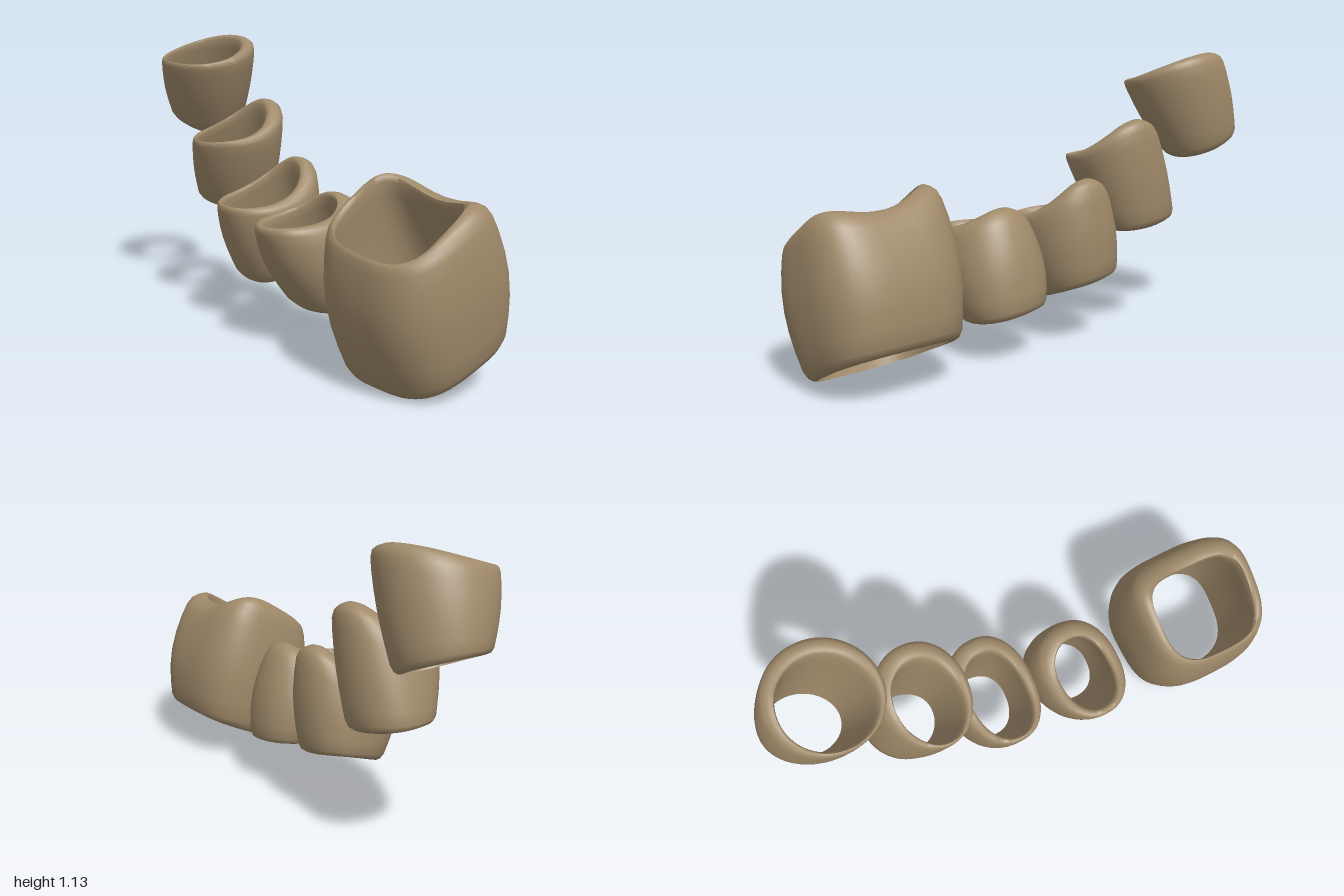
import * as THREE from 'three';
import { toCreasedNormals } from 'three/addons/utils/BufferGeometryUtils.js';

const SIDES = 56;

// Wall profile: [height 0..1 between bottom and top rim, inset as a share of wall thickness]
const PROFILE = [
  [0, 0.65], [0, 0.4], [0.02, 0.15], [0.07, 0], [0.2, 0], [0.35, 0], [0.5, 0], [0.65, 0], [0.8, 0], [0.91, 0.02],
  [0.965, 0.13], [0.99, 0.36], [1, 0.65], [0.985, 0.92], [0.95, 1.05], [0.85, 1.1], [0.65, 1.1], [0.45, 1.05], [0.2, 0.85],
];

// Rims: centre x, z; radii rx, rz; height y plus slopes
// (sx toward +x, sz toward the back, c lifts the back corners, q along z squared).
// bulge is the swelling at mid height in x and z;
// shift moves the upper opening forward, so the back wall is thicker than the front.
const PIECES = [
  { name: 'largeRing', n: 3, taper: 0.03, wall: 0.05, bulge: [0.026, 0.045], shift: 0.034,
    top: { x: 0.722, z: 0.085, rx: 0.253, rz: 0.21, y: 0.552, sx: -0.03, sz: 0.072, c: 0.085, q: 0 },
    bottom: { x: 0.712, z: -0.025, rx: 0.25, rz: 0.215, y: 0.088, sx: 0, sz: 0.088, c: 0, q: 0 } },
  { name: 'innerRing', n: 2.3, taper: 0.06, wall: 0.05, bulge: [0.028, 0.028], shift: 0.02,
    top: { x: 0.19, z: 0.093, rx: 0.152, rz: 0.19, y: 0.51, sx: 0, sz: 0.047, c: -0.04, q: 0.01 },
    bottom: { x: 0.178, z: -0.045, rx: 0.152, rz: 0.15, y: 0.165, sx: -0.02, sz: 0.02, c: 0, q: 0 } },
  { name: 'middleRing', n: 2.3, taper: 0.08, wall: 0.045, bulge: [0.018, 0.018], shift: 0.025,
    top: { x: -0.153, z: 0.015, rx: 0.158, rz: 0.205, y: 0.545, sx: -0.01, sz: 0.08, c: -0.05, q: 0.027 },
    bottom: { x: -0.2, z: -0.06, rx: 0.142, rz: 0.15, y: 0.215, sx: -0.025, sz: 0.04, c: 0.01, q: 0 } },
  { name: 'outerRing', n: 2.1, taper: 0.1, wall: 0.045, bulge: [0.01, 0.01], shift: 0.03,
    top: { x: -0.412, z: -0.025, rx: 0.168, rz: 0.193, y: 0.77, sx: -0.01, sz: 0.077, c: -0.045, q: 0.02 },
    bottom: { x: -0.524, z: -0.08, rx: 0.154, rz: 0.148, y: 0.44, sx: -0.028, sz: 0, c: 0, q: 0 } },
  { name: 'endRing', n: 2, taper: 0, wall: 0.04, bulge: [0.012, 0.012], shift: 0.025,
    top: { x: -0.73, z: -0.09, rx: 0.208, rz: 0.202, y: 1.052, sx: -0.022, sz: 0.052, c: 0.006, q: 0.018 },
    bottom: { x: -0.85, z: -0.15, rx: 0.155, rz: 0.15, y: 0.75, sx: -0.058, sz: 0, c: 0, q: 0 } },
];

const power = (v, p) => Math.sign(v) * Math.abs(v) ** p;
const rimHeight = (r, u, v) => r.y + r.sx * u - r.sz * v + r.c * u * u * (1 - v) / 2 + r.q * v * v;

// Closed tubular shell: the wall profile swept around a rounded-square outline
function shellGeometry({ n, taper, wall, bulge, shift, top, bottom }) {
  const positions = [], index = [];
  for (const [t, inset] of PROFILE) {
    const mix = (key) => THREE.MathUtils.lerp(bottom[key], top[key], t);
    const swell = Math.sin(Math.PI * t);
    const rx = mix('rx') + bulge[0] * swell - wall * inset;
    const rz = mix('rz') + bulge[1] * swell - wall * inset;
    for (let j = 0; j < SIDES; j++) {
      const a = (j / SIDES) * Math.PI * 2;
      const u = power(Math.cos(a), 2 / n), v = power(Math.sin(a), 2 / n);
      positions.push(
        mix('x') + rx * u * (1 - taper * v),
        THREE.MathUtils.lerp(rimHeight(bottom, u, v), rimHeight(top, u, v), t),
        mix('z') + rz * v + shift * t * inset,
      );
    }
  }
  const rows = PROFILE.length;
  for (let i = 0; i < rows; i++) {
    for (let j = 0; j < SIDES; j++) {
      const i2 = (i + 1) % rows, j2 = (j + 1) % SIDES;
      const a = i * SIDES + j, b = i2 * SIDES + j, c = i2 * SIDES + j2, d = i * SIDES + j2;
      index.push(a, b, c, a, c, d);
    }
  }
  const geometry = new THREE.BufferGeometry();
  geometry.setAttribute('position', new THREE.Float32BufferAttribute(positions, 3));
  geometry.setIndex(index);
  return toCreasedNormals(geometry, 1.1);
}

export function createModel() {
  const group = new THREE.Group();
  group.name = 'ringSegments';
  const material = new THREE.MeshStandardMaterial({ color: 0xa08a6a });
  material.name = 'tan';
  for (const piece of PIECES) {
    const mesh = new THREE.Mesh(shellGeometry(piece), material);
    mesh.name = piece.name;
    group.add(mesh);
  }
  return group;
}
